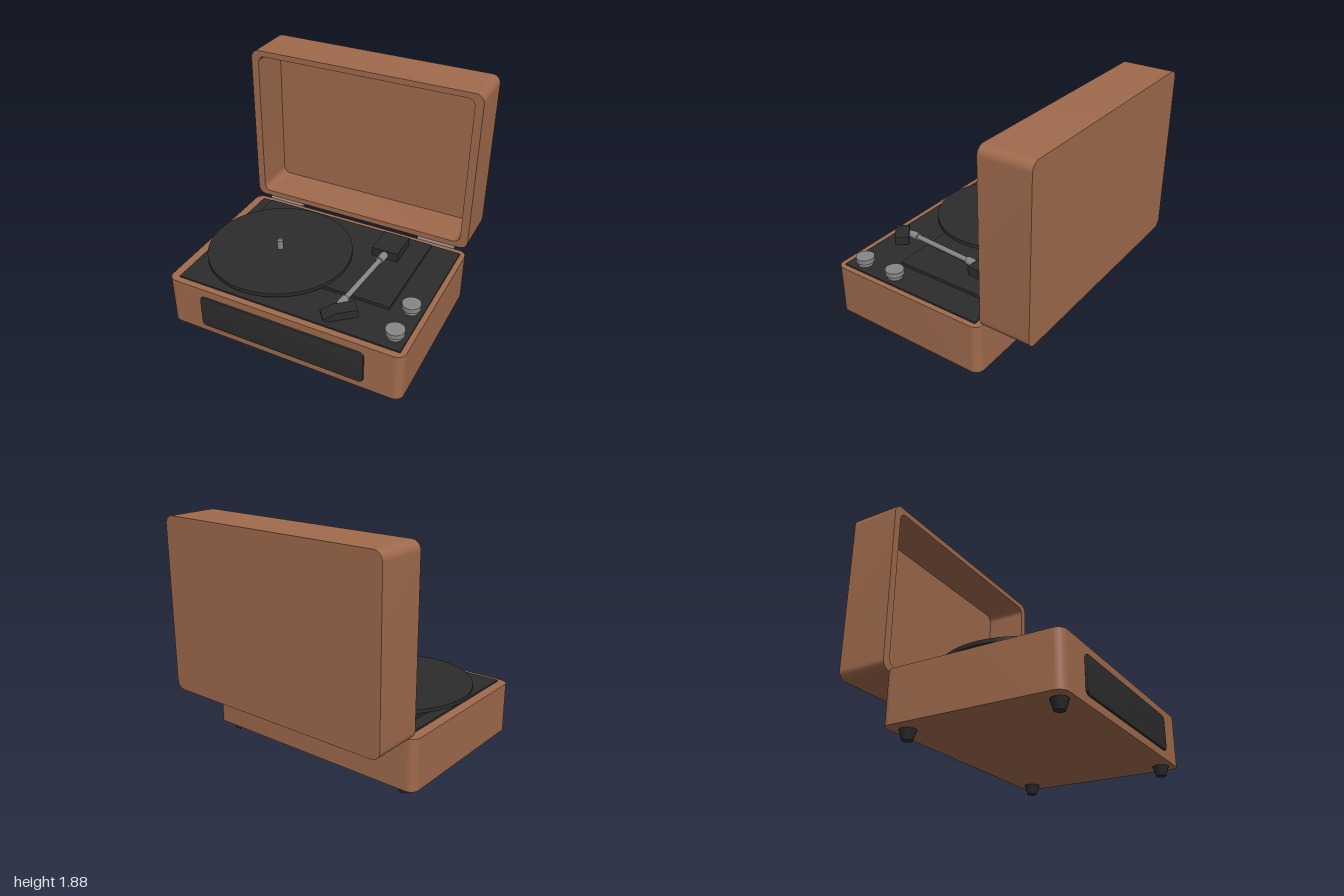
import * as THREE from 'three';
import { toCreasedNormals } from 'three/addons/utils/BufferGeometryUtils.js';

const material = (name, color) => Object.assign(new THREE.MeshStandardMaterial({ color }), { name });

// Rounded rectangle outline, usable as a shape or a hole
function roundedRect(Type, x0, y0, x1, y1, r) {
  const p = new Type();
  p.moveTo(x0 + r, y0);
  p.lineTo(x1 - r, y0);
  p.absarc(x1 - r, y0 + r, r, -Math.PI / 2, 0);
  p.lineTo(x1, y1 - r);
  p.absarc(x1 - r, y1 - r, r, 0, Math.PI / 2);
  p.lineTo(x0 + r, y1);
  p.absarc(x0 + r, y1 - r, r, Math.PI / 2, Math.PI);
  p.lineTo(x0, y0 + r);
  p.absarc(x0 + r, y0 + r, r, Math.PI, Math.PI * 1.5);
  return p;
}

function extrude(shape, depth, options = {}) {
  const g = new THREE.ExtrudeGeometry(shape, { depth, bevelEnabled: false, curveSegments: 8, ...options });
  return toCreasedNormals(g, 0.6);
}

export function createModel() {
  const model = new THREE.Group();
  model.name = 'recordPlayer';
  const leather = material('brown leather', 0xa06a4c);
  const black = material('black', 0x2c2c2c);
  const metal = material('grey metal', 0x868686);

  const add = (name, geometry, mat, x = 0, y = 0, z = 0) => {
    const mesh = new THREE.Mesh(geometry, mat);
    mesh.name = name;
    mesh.position.set(x, y, z);
    model.add(mesh);
    return mesh;
  };
  // Box and upright cylinder given by their limits
  const box = (name, mat, x0, x1, y0, y1, z0, z1) =>
    add(name, new THREE.BoxGeometry(x1 - x0, y1 - y0, z1 - z0), mat, (x0 + x1) / 2, (y0 + y1) / 2, (z0 + z1) / 2);
  const disc = (name, mat, x, z, y0, y1, rTop, rBottom = rTop, sides = 32) =>
    add(name, new THREE.CylinderGeometry(rTop, rBottom, y1 - y0, sides), mat, x, (y0 + y1) / 2, z);

  // Case body, outline lies in the ground plane
  const body = extrude(roundedRect(THREE.Shape, -0.99, -0.89, 0.995, 0.487, 0.07), 0.41);
  body.rotateX(-Math.PI / 2);
  add('caseBody', body, leather, 0, 0.077, 0);

  // Open lid: hollow frame and closed back
  const outline = () => roundedRect(THREE.Shape, -1, 0.505, 0.985, 1.885, 0.07);
  const frame = outline();
  frame.holes.push(roundedRect(THREE.Path, -0.935, 0.552, 0.918, 1.838, 0.06));
  add('lidFrame', extrude(frame, 0.355), leather, 0, 0, -0.855);
  add('lidBack', extrude(outline(), 0.05), leather, 0, 0, -0.905);

  // Hinges
  for (const x of [-0.708, 0.717]) {
    const hinge = add('hinge', new THREE.CylinderGeometry(0.019, 0.019, 0.325, 16), metal, x, 0.482, -0.507);
    hinge.rotation.z = Math.PI / 2;
  }

  // Feet
  for (const x of [-0.84, 0.868])
    for (const z of [0.783, -0.372]) disc('foot', black, x, z, 0, 0.08, 0.064, 0.038, 20);

  // Speaker panel on the front
  add('speakerPanel', extrude(roundedRect(THREE.Shape, -0.68, 0.147, 0.694, 0.411, 0.03), 0.006,
    { bevelEnabled: true, bevelThickness: 0.008, bevelSize: 0.01, bevelSegments: 2 }), black, 0, 0, 0.891);

  // Deck, plinth and platter
  box('deckPlate', black, -0.912, 0.952, 0.48, 0.5, -0.432, 0.838);
  box('plinth', black, -0.812, 0.712, 0.5, 0.525, -0.406, 0.47);
  disc('platter', black, -0.357, 0.225, 0.525, 0.555, 0.586, 0.586, 64);
  disc('spindle', metal, -0.357, 0.225, 0.555, 0.632, 0.025, 0.025, 12);
  disc('spindleTip', metal, -0.357, 0.225, 0.632, 0.642, 0.015, 0.025, 12);

  // Knobs: wide cap on a narrower neck
  for (const z of [0.403, 0.71]) {
    disc('knobNeck', metal, 0.858, z, 0.5, 0.535, 0.06, 0.06, 20);
    disc('knobCap', metal, 0.858, z, 0.53, 0.57, 0.073, 0.073, 20);
  }

  // Tonearm: pivot block, rod with a collar at each end
  box('armPivot', black, 0.33, 0.55, 0.525, 0.6, -0.312, -0.06);
  const start = new THREE.Vector3(0.44, 0.56, -0.06);
  const axis = new THREE.Vector3(0.385, 0.56, 0.69).sub(start);
  const rod = (name, t0, t1, r0, r1 = r0) => {
    const a = start.clone().addScaledVector(axis, t0);
    const b = start.clone().addScaledVector(axis, t1);
    const m = add(name, new THREE.CylinderGeometry(r1, r0, a.distanceTo(b), 16), metal);
    m.position.copy(a).add(b).multiplyScalar(0.5);
    m.quaternion.setFromUnitVectors(new THREE.Vector3(0, 1, 0), b.sub(a).normalize());
  };
  rod('armCollar', 0, 0.12, 0.033);
  rod('armRod', 0.1, 0.85, 0.021);
  rod('armEndCollar', 0.83, 0.92, 0.032);
  rod('armEndTaper', 0.92, 1, 0.032, 0.018);

  // Headshell: side profile swept across its width, sloping to the tip
  const profile = new THREE.Shape([
    [0, 0.537], [0.05, 0.527], [0.262, 0.527], [0.262, 0.595], [0.1, 0.595], [0, 0.555],
  ].map(([x, y]) => new THREE.Vector2(x, y)));
  const head = extrude(profile, 0.112);
  head.translate(0, 0, -0.056);
  add('headshell', head, black, 0.318, 0, 0.8).rotation.y = 0.69;

  return model;
}
